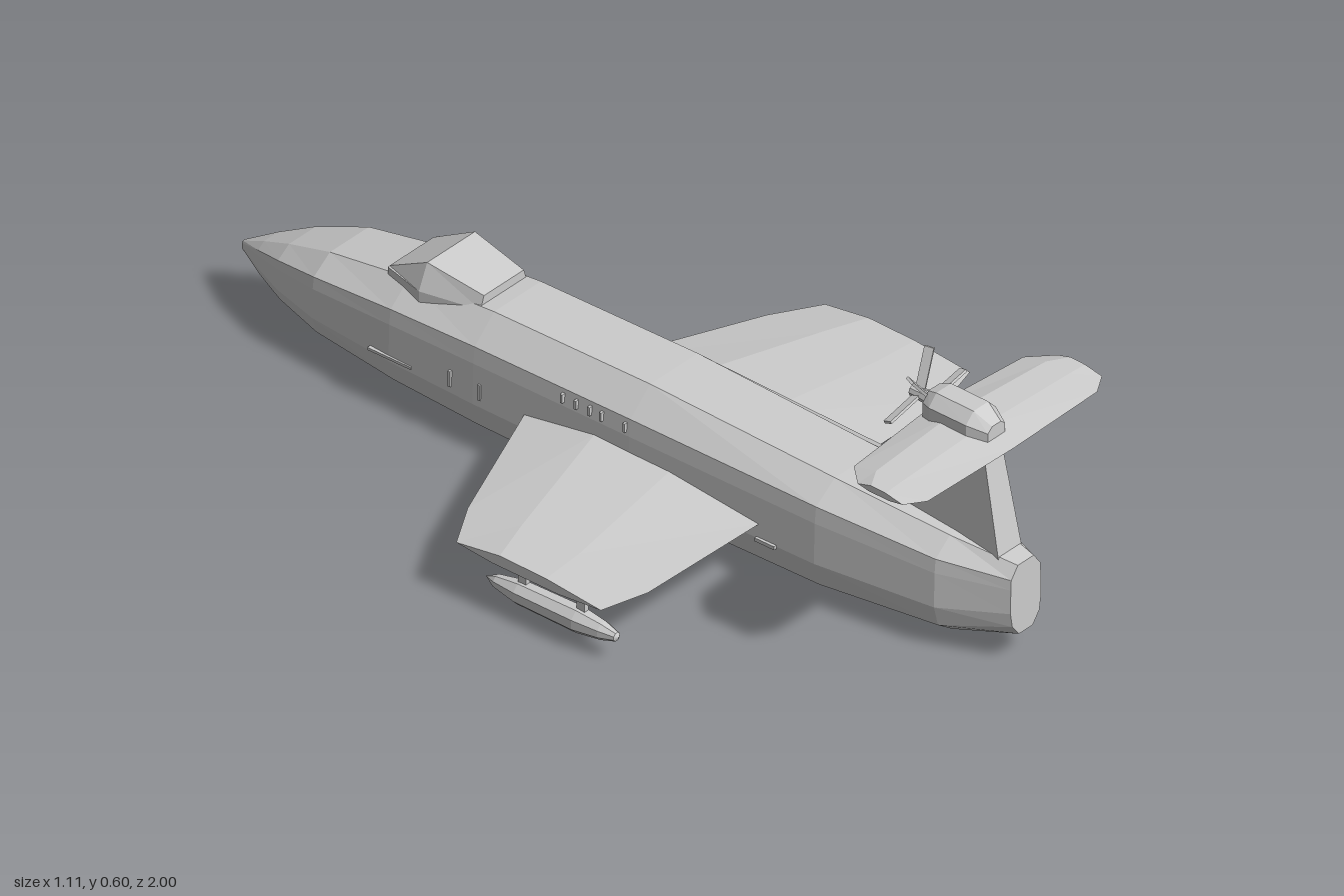
import * as THREE from 'three';

const grey = new THREE.MeshStandardMaterial({ color: 0xcccccc, flatShading: true });
grey.name = 'light grey paint';

// Skin equal-length rings of [x, y, z]; rings run counter-clockwise seen from the last ring's side
function loft(rings) {
  const n = rings[0].length, index = [];
  for (let i = 0; i < rings.length - 1; i++) {
    for (let j = 0; j < n; j++) {
      const a = i * n + j, b = i * n + (j + 1) % n;
      index.push(a, b, b + n, a, b + n, a + n);
    }
  }
  const last = (rings.length - 1) * n;
  for (let j = 1; j < n - 1; j++) index.push(0, j + 1, j, last, last + j, last + j + 1);
  const g = new THREE.BufferGeometry();
  g.setAttribute('position', new THREE.Float32BufferAttribute(rings.flat(2), 3));
  g.setIndex(index);
  const flat = g.toNonIndexed();
  flat.computeVertexNormals();
  return flat;
}

function add(parent, name, geometry, x = 0, y = 0, z = 0) {
  const m = new THREE.Mesh(geometry, grey);
  m.name = name;
  m.position.set(x, y, z);
  parent.add(m);
  return m;
}

// Mirror a right-hand list of [x, y] points into a closed ring at z
const mirrorRing = (pts, z) => [
  ...pts.map(([x, y]) => [x, y, z]),
  ...pts.slice().reverse().map(([x, y]) => [-x, y, z]),
];

// Spanwise surface from half-span sections: x, leading z, trailing z, bottom y, top y
function airfoilSpan(sections) {
  const profile = [[0, 0.4], [0.25, 0.05], [0.7, 0], [1, 0.35], [0.62, 0.9], [0.3, 1]];
  const full = [...sections.slice(1).reverse().map(([x, ...r]) => [-x, ...r]), ...sections];
  return loft(full.map(([x, z0, z1, y0, y1]) =>
    profile.map(([t, h]) => [x, y0 + h * (y1 - y0), z0 + t * (z1 - z0)]).reverse()));
}

function buildFuselage(group) {
  // z, half width, bottom, lower chine, upper chine, top
  const stations = [
    [-1, 0.006, 0.1, 0.105, 0.118, 0.122],
    [-0.93, 0.042, 0.08, 0.092, 0.148, 0.16],
    [-0.85, 0.078, 0.064, 0.082, 0.175, 0.197],
    [-0.73, 0.113, 0.047, 0.072, 0.204, 0.238],
    [-0.52, 0.13, 0.028, 0.058, 0.226, 0.272],
    [-0.3, 0.136, 0.014, 0.05, 0.235, 0.288],
    [0.1, 0.138, 0, 0.045, 0.237, 0.29],
    [0.57, 0.132, 0.005, 0.045, 0.23, 0.27],
    [0.85, 0.1, 0.025, 0.055, 0.212, 0.247],
    [1, 0.046, 0.065, 0.09, 0.2, 0.226],
  ];
  add(group, 'fuselage', loft(stations.map(([z, w, bot, low, up, top]) => mirrorRing([
    [0.45 * w, bot], [0.88 * w, low], [w, low + 0.3 * (up - low)],
    [0.98 * w, low + 0.8 * (up - low)], [0.95 * w, up], [0.52 * w, top],
  ], z))));
}

function buildCanopy(group) {
  const canopy = [[-0.572, 0.07, 0.065, 0.277], [-0.47, 0.097, 0.072, 0.331], [-0.335, 0.07, 0.06, 0.305]];
  add(group, 'canopy', loft(canopy.map(([z, base, roof, y]) =>
    mirrorRing([[base, 0.25], [base, 0.276], [roof, y]], z))));
}

function buildFloat(group, side) {
  const float = new THREE.Group();
  float.name = side > 0 ? 'leftFloat' : 'rightFloat';
  float.position.set(side * 0.525, 0.055, 0);
  const outline = [[0, -0.17], [0.015, -0.14], [0.026, -0.08], [0.028, 0.07], [0.02, 0.13], [0.01, 0.165], [0, 0.17]];
  const hull = new THREE.LatheGeometry(outline.map(([r, z]) => new THREE.Vector2(r, z)), 8);
  hull.rotateX(Math.PI / 2).rotateZ(Math.PI / 8);
  add(float, 'floatHull', hull, 0, 0, 0.235);
  for (const z of [0.16, 0.31]) {
    add(float, 'floatStrut', new THREE.BoxGeometry(0.012, 0.06, 0.02), -side * 0.003, 0.045, z);
  }
  group.add(float);
}

function buildTail(group) {
  // Tapered fin
  const fin = [[0.2, 0.715, 0.965, 0.03, 0.036], [0.48, 0.755, 0.91, 0.022, 0.026]];
  add(group, 'fin', loft(fin.map(([y, z0, z1, w0, w1]) =>
    [[-w0, y, z0], [-w1, y, z1], [w1, y, z1], [w0, y, z0]])));
  add(group, 'tailplane', airfoilSpan([
    [0, 0.752, 0.968, 0.463, 0.492], [0.255, 0.777, 0.966, 0.469, 0.491], [0.3, 0.825, 0.94, 0.474, 0.49],
  ]));
  // Engine pod
  const pod = [[0.765, 0.034, 0.53], [0.79, 0.045, 0.538], [0.885, 0.045, 0.536], [0.925, 0.026, 0.512]];
  add(group, 'enginePod', loft(pod.map(([z, w, top]) => mirrorRing(
    [[w, 0.475], [w, 0.49 + (top - 0.49) * 0.5], [w * 0.5, top]], z))));
}

function buildPropellers(group) {
  // Two contra-rotating three-bladed propellers
  const props = new THREE.Group();
  props.name = 'propellers';
  props.position.set(0, 0.5, 0);
  const hub = new THREE.CylinderGeometry(0.017, 0.012, 0.07, 8).rotateX(Math.PI / 2);
  add(props, 'propellerHub', hub, 0, 0, 0.745);
  [[0.728, 72, 1], [0.758, 11, -1]].forEach(([z, start, twist]) => {
    for (let k = 0; k < 3; k++) {
      const blade = new THREE.BoxGeometry(0.006, 0.092, 0.02);
      blade.rotateY(twist * 0.35).translate(0, 0.052, 0);
      add(props, 'propellerBlade', blade, 0, 0, z).rotation.z =
        THREE.MathUtils.degToRad(start + k * 120 - 90);
    }
  });
  group.add(props);
}

function buildSideDetails(group, side) {
  // Thin plates: z, y, length, height
  const plates = [
    ...[0.09, 0.03, 0, -0.035, -0.07].map((z) => ['cabinWindow', z, 0.217, 0.006, 0.02]),
    ['doorFrame', -0.282, 0.14, 0.006, 0.036],
    ['doorFrame', -0.358, 0.14, 0.006, 0.036],
    ['sideVent', -0.515, 0.119, 0.11, 0.006],
    ['sideStrip', 0.45, 0.1, 0.05, 0.008],
  ];
  for (const [name, z, y, length, height] of plates) {
    const x = z < -0.5 ? 0.13 : z < -0.2 ? 0.134 : 0.1355;
    add(group, name, new THREE.BoxGeometry(0.009, height, length), side * x, y, z);
  }
}

export function createModel() {
  const group = new THREE.Group();
  group.name = 'flyingBoat';
  buildFuselage(group);
  buildCanopy(group);
  // One wing running through the hull
  add(group, 'wing', airfoilSpan([
    [0, -0.22, 0.43, 0.117, 0.17], [0.13, -0.17, 0.43, 0.117, 0.166],
    [0.45, -0.045, 0.416, 0.116, 0.147], [0.555, 0.015, 0.385, 0.116, 0.142],
  ]));
  buildTail(group);
  buildPropellers(group);
  for (const side of [-1, 1]) {
    buildFloat(group, side);
    buildSideDetails(group, side);
  }
  return group;
}
